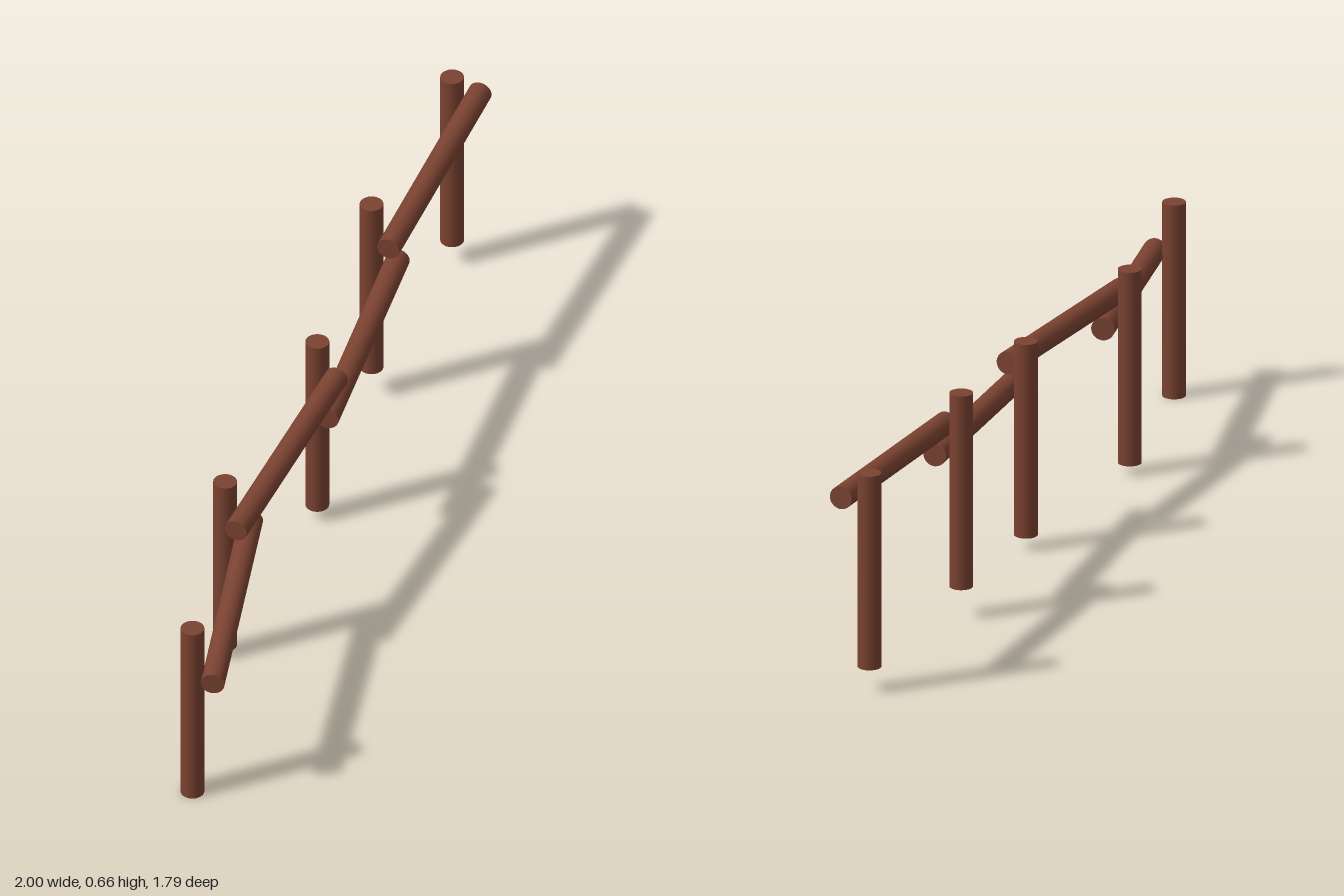
import * as THREE from 'three';

const wood = new THREE.MeshStandardMaterial({ color: 0x7a4231 });
const RADIUS = 0.033;
const POST_HEIGHT = 0.57;

// Round log running from point a to point b
function log(name, a, b) {
  const from = new THREE.Vector3(...a);
  const to = new THREE.Vector3(...b);
  const dir = to.clone().sub(from);
  const mesh = new THREE.Mesh(new THREE.CylinderGeometry(RADIUS, RADIUS, dir.length(), 24), wood);
  mesh.name = name;
  mesh.position.copy(from).add(to).multiplyScalar(0.5);
  mesh.quaternion.setFromUnitVectors(new THREE.Vector3(0, 1, 0), dir.normalize());
  return mesh;
}

export function createModel() {
  const fence = new THREE.Group();
  fence.name = 'fence';

  // Upright posts: foot of each, following the uneven ground
  const feet = [
    [-0.966, 0, 0.804],
    [-0.563, 0.03, 0.32],
    [-0.022, 0.04, -0.074],
    [0.397, 0.09, -0.47],
    [0.9, 0.07, -0.864],
  ];
  feet.forEach(([x, y, z], i) => {
    fence.add(log(`post${i + 1}`, [x, y, z], [x, y + POST_HEIGHT, z]));
  });

  // Rails: alternately low and high, overlapping in front of the posts
  const rails = [
    [[-0.943, 0.411, 0.873], [-0.48, 0.436, 0.323]],
    [[-0.589, 0.503, 0.419], [-0.003, 0.525, -0.002]],
    [[-0.074, 0.451, 0.062], [0.457, 0.473, -0.427]],
    [[0.405, 0.548, -0.395], [0.977, 0.572, -0.84]],
  ];
  rails.forEach(([a, b], i) => fence.add(log(`rail${i + 1}`, a, b)));

  return fence;
}
